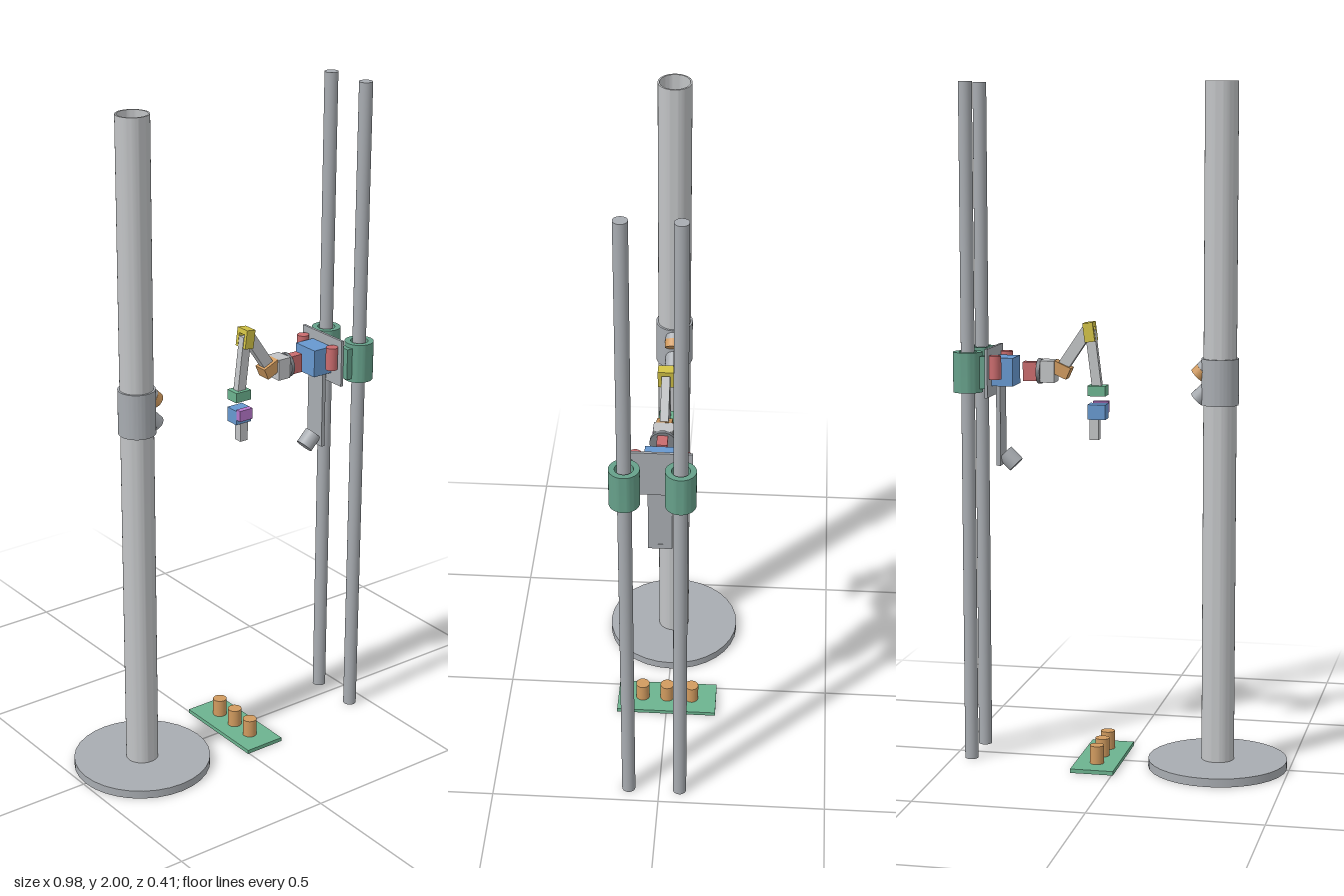
import * as THREE from 'three';
import { toCreasedNormals } from 'three/addons/utils/BufferGeometryUtils.js';

export function createModel() {
  const model = new THREE.Group();
  model.name = 'robotCell';

  const mat = (name, color) => {
    const m = new THREE.MeshStandardMaterial({ color });
    m.name = name;
    return m;
  };
  const steel = mat('steel', 0xa8acb1);
  const aluminium = mat('aluminium', 0xc2c4c6);
  const dark = mat('dark steel', 0x7d8186);
  const green = mat('green', 0x6cb38f);
  const teal = mat('teal', 0x66a08a);
  const orange = mat('orange', 0xd19b5f);
  const red = mat('red', 0xc96b6d);
  const blue = mat('blue', 0x6798cf);
  const purple = mat('purple', 0xb878cc);
  const yellow = mat('yellow', 0xd2c245);

  const add = (name, geo, material, x, y, z, tilt = 0) => {
    const mesh = new THREE.Mesh(geo, material);
    mesh.name = name;
    mesh.position.set(x, y, z);
    mesh.rotation.z = tilt;
    model.add(mesh);
    return mesh;
  };
  // Box given by its limits on each axis
  const span = (name, material, [x0, x1], [y0, y1], [z0, z1]) =>
    add(name, new THREE.BoxGeometry(x1 - x0, y1 - y0, z1 - z0), material,
      (x0 + x1) / 2, (y0 + y1) / 2, (z0 + z1) / 2);
  // Upright or tilted cylinder given by its centre
  const rod = (name, material, r, len, x, y, z, tilt = 0, sides = 32) =>
    add(name, new THREE.CylinderGeometry(r, r, len, sides), material, x, y, z, tilt);
  // Hollow upright tube standing on y0
  const tube = (name, material, rOut, rIn, y0, y1, x, z) => {
    const shape = new THREE.Shape().absarc(0, 0, rOut, 0, Math.PI * 2);
    shape.holes.push(new THREE.Path().absarc(0, 0, rIn, 0, Math.PI * 2, true));
    const geo = new THREE.ExtrudeGeometry(shape, { depth: y1 - y0, bevelEnabled: false, curveSegments: 32 });
    geo.rotateX(-Math.PI / 2);
    return add(name, toCreasedNormals(geo, 0.6), material, x, y0, z);
  };
  // Bar running between two points in the xy plane
  const link = (name, material, [x0, y0], [x1, y1], width, depth) =>
    add(name, new THREE.BoxGeometry(width, Math.hypot(x1 - x0, y1 - y0), depth), material,
      (x0 + x1) / 2, (y0 + y1) / 2, 0, Math.atan2(x0 - x1, y1 - y0));

  // Column on a round base, with a sleeve
  const cx = -0.288;
  rod('columnBase', steel, 0.205, 0.025, cx, 0.0125, 0);
  tube('column', aluminium, 0.048, 0.043, 0.025, 2, cx, 0);
  tube('columnSleeve', steel, 0.054, 0.0475, 1.078, 1.212, cx, 0);

  // Tilted sensors on the sleeve
  rod('lampBody', steel, 0.024, 0.03, -0.246, 1.185, 0, Math.PI / 4);
  rod('lampHead', orange, 0.0245, 0.024, -0.23, 1.169, 0, Math.PI / 4);
  rod('columnCamera', steel, 0.024, 0.045, -0.237, 1.107, 0, Math.PI / 4);

  // Work tray with three pegs
  span('tray', green, [-0.004, 0.124], [0, 0.012], [-0.154, 0.154]);
  for (const z of [-0.077, 0, 0.077]) rod('peg', orange, 0.021, 0.054, 0.06, 0.039, z);

  // Twin guide rods with sliding collars
  for (const z of [-0.062, 0.092]) {
    rod('guideRod', steel, 0.02, 2, 0.447, 1, z);
    tube('collar', teal, 0.043, 0.026, 1.104, 1.222, 0.447, z);
    span('collarBracket', teal, [0.389, 0.411], [1.115, 1.21], [z - 0.017, z + 0.017]);
  }

  // Carriage
  span('carriagePlate', steel, [0.381, 0.389], [1.09, 1.233], [-0.091, 0.091]);
  span('driveBox', blue, [0.317, 0.381], [1.12, 1.203], [-0.044, 0.044]);
  for (const z of [-0.068, 0.068]) rod('motor', red, 0.0178, 0.069, 0.363, 1.178, z);

  // Hanging camera
  span('cameraBar', steel, [0.358, 0.37], [0.883, 1.12], [-0.034, 0.034]);
  rod('camera', steel, 0.026, 0.048, 0.336, 0.9, 0, -Math.PI / 4);

  // Arm shoulder
  span('shoulderMotor', red, [0.25, 0.294], [1.134, 1.19], [-0.015, 0.015]);
  rod('shoulderFlange', dark, 0.037, 0.011, 0.2445, 1.163, 0, Math.PI / 2);
  span('shoulderBlock', aluminium, [0.197, 0.239], [1.132, 1.196], [-0.028, 0.028]);
  link('shoulderJoint', orange, [0.156, 1.158], [0.205, 1.18], 0.036, 0.044);

  // Upper arm, elbow and forearm
  link('upperArm', aluminium, [0.102, 1.286], [0.182, 1.168], 0.034, 0.024);
  link('forearm', aluminium, [0.094, 1.285], [0.073, 1.115], 0.028, 0.022);
  const elbow = new THREE.Shape([
    [-0.023, -0.028], [-0.0125, -0.028], [-0.0125, 0.013], [0.0125, 0.013],
    [0.0125, -0.028], [0.023, -0.028], [0.023, 0.028], [-0.023, 0.028],
  ].map(([x, y]) => new THREE.Vector2(x, y)));
  const elbowGeo = new THREE.ExtrudeGeometry(elbow, { depth: 0.03, bevelEnabled: false });
  elbowGeo.translate(0, 0, -0.015).rotateY(Math.PI / 2);
  add('elbowFork', elbowGeo, yellow, 0.095, 1.281, 0, -0.13);

  // Wrist and gripper
  span('wristBlock', green, [0.046, 0.099], [1.095, 1.125], [-0.022, 0.022]);
  span('handBlock', blue, [0.046, 0.099], [1.026, 1.07], [-0.022, 0.022]);
  span('handMotor', purple, [0.046, 0.092], [1.042, 1.075], [0.022, 0.04]);
  span('gripper', aluminium, [0.068, 0.095], [0.965, 1.026], [-0.013, 0.013]);

  return model;
}
